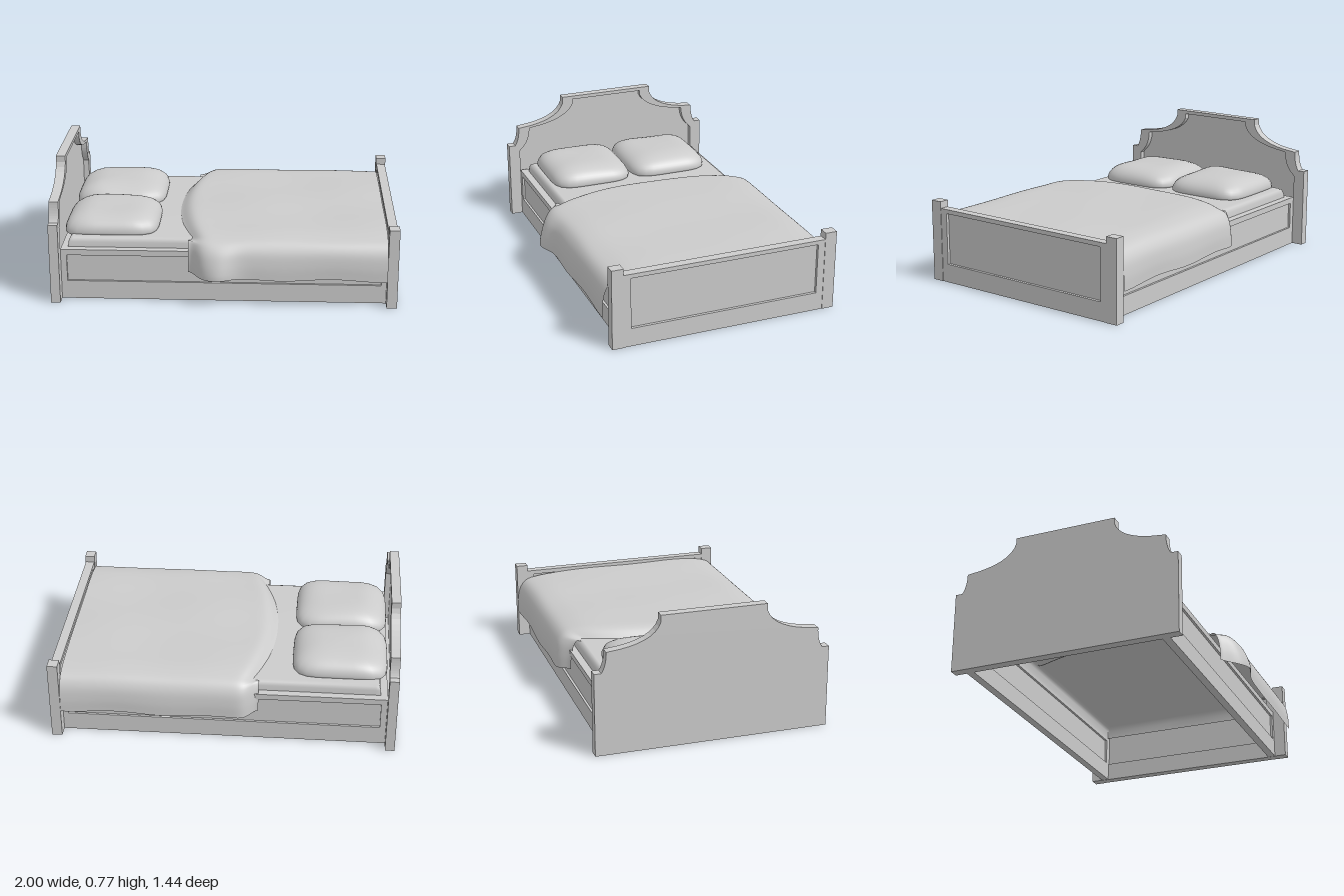
import * as THREE from 'three';
import { mergeVertices } from 'three/addons/utils/BufferGeometryUtils.js';

const mat = new THREE.MeshStandardMaterial({ color: 0xcccccc });
const clothMat = new THREE.MeshStandardMaterial({ color: 0xcccccc, side: THREE.DoubleSide });
const CZ = -0.0375; // centre line of the frame
const HALF = 0.6775; // half width over the posts

function add(parent, name, geometry, x = 0, y = 0, z = 0, material = mat) {
  const mesh = new THREE.Mesh(geometry, material);
  mesh.name = name;
  mesh.position.set(x, y, z);
  parent.add(mesh);
}

function box(parent, name, x0, x1, y0, y1, z0, z1) {
  add(parent, name, new THREE.BoxGeometry(x1 - x0, y1 - y0, z1 - z0),
    (x0 + x1) / 2, (y0 + y1) / 2, (z0 + z1) / 2);
}

const V = (x, y) => new THREE.Vector2(x, y);

function rect(x0, x1, y0, y1) {
  return [V(x0, y0), V(x1, y0), V(x1, y1), V(x0, y1)];
}

function slab(outline, holes, depth) {
  const shape = new THREE.Shape(outline);
  shape.holes = holes.map(h => new THREE.Path(h));
  return new THREE.ExtrudeGeometry(shape, { depth, bevelEnabled: false });
}

// Grid surface from fn(u, v) -> [x, y, z]; u runs along x, v along z
function sheet(nu, nv, fn) {
  const pos = [], index = [];
  for (let i = 0; i <= nu; i++) {
    for (let j = 0; j <= nv; j++) {
      pos.push(...fn(i / nu, j / nv));
      if (i < nu && j < nv) {
        const a = i * (nv + 1) + j, b = a + nv + 1;
        index.push(a, a + 1, b, b, a + 1, b + 1);
      }
    }
  }
  const g = new THREE.BufferGeometry();
  g.setAttribute('position', new THREE.Float32BufferAttribute(pos, 3));
  g.setIndex(index);
  g.computeVertexNormals();
  return g;
}

// Half of a stepped headboard outline, mirrored into a full one
function mirrored(half) {
  return [...half, ...half.slice().reverse().map(p => V(-p.x, p.y))];
}
function scoop(a, cx, cy, b) {
  return new THREE.QuadraticBezierCurve(a, V(cx, cy), b).getPoints(8);
}

function headboard() {
  const g = new THREE.Group();
  g.name = 'headboard';
  const outer = mirrored([
    V(HALF, 0), V(HALF, 0.48),
    ...scoop(V(0.637, 0.48), 0.608, 0.52, V(0.608, 0.597)),
    ...scoop(V(0.59, 0.6), 0.34, 0.62, V(0.304, 0.735)), V(0.304, 0.772),
  ]);
  const inner = mirrored([
    V(0.607, 0.11), V(0.607, 0.44),
    ...scoop(V(0.595, 0.455), 0.54, 0.5, V(0.537, 0.588)),
    ...scoop(V(0.52, 0.592), 0.28, 0.62, V(0.237, 0.72)), V(0.237, 0.75),
  ]);
  const frame = slab(outer, [inner], 0.035).rotateY(-Math.PI / 2);
  const back = slab(outer, [], 0.02).rotateY(-Math.PI / 2);
  add(g, 'headboardFrame', frame, -0.945, 0, CZ);
  add(g, 'headboardPanel', back, -0.98, 0, CZ);
  return g;
}

function footboard() {
  const g = new THREE.Group();
  g.name = 'footboard';
  for (const s of [-1, 1]) {
    const z = CZ + s * (HALF - 0.035);
    box(g, 'footPost', 0.94, 1, 0, 0.48, z - 0.035, z + 0.035);
  }
  const frame = slab(rect(-0.6075, 0.6075, 0, 0.44), [rect(-0.565, 0.565, 0.11, 0.415)], 0.054);
  add(g, 'footboardFrame', frame.rotateY(-Math.PI / 2), 0.997, 0, CZ);
  box(g, 'footboardPanel', 0.96, 0.98, 0.1, 0.42, CZ - 0.57, CZ + 0.57);
  return g;
}

function sideRail(s) {
  const g = new THREE.Group();
  g.name = s > 0 ? 'frontRail' : 'backRail';
  const z = CZ + s * 0.585;
  const frame = slab(rect(-0.945, 0.94, 0, 0.305), [rect(-0.91, 0.91, 0.11, 0.27)], 0.045);
  add(g, 'railFrame', frame, 0, 0, z - 0.0225);
  box(g, 'railPanel', -0.92, 0.92, 0.1, 0.28, z - 0.009, z + 0.009);
  return g;
}

// Mattress shell, open underneath, with a softened top edge
function mattress() {
  const n = 10;
  const heights = [0.29, 0.335, 0.356, 0.365], insets = [0, 0.003, 0.012, 0.03];
  const place = (i, lo, hi) => {
    if (i < 4) return lo + insets[i];
    if (i > n - 4) return hi - insets[n - i];
    return lo + (hi - lo) * i / n;
  };
  return sheet(n, n, (u, v) => {
    const i = Math.round(u * n), j = Math.round(v * n);
    const ring = Math.min(i, j, n - i, n - j, 3);
    return [place(i, -0.907, 0.93), heights[ring], place(j, -0.6, 0.525)];
  });
}

// Soft squared cushion sunk into the mattress, lower toward the headboard
function pillow(phase) {
  const g = new THREE.SphereGeometry(1, 40, 24);
  const p = g.attributes.position;
  for (let i = 0; i < p.count; i++) {
    const x = p.getX(i), y = p.getY(i), z = p.getZ(i);
    const angle = Math.atan2(z, x);
    const c = Math.cos(angle), s = Math.sin(angle);
    const k = Math.pow(Math.hypot(x, z), 0.5) / Math.pow(Math.abs(c) ** 5 + Math.abs(s) ** 5, 0.2);
    const px = c * k, pz = s * k;
    const sag = 0.03 * Math.max(0, -px - 0.5);
    const dent = y > 0 ? 0.006 * y * Math.sin(3 * px + phase) * Math.cos(2.5 * pz + phase) : 0;
    p.setXYZ(i, px * 0.277, y * (y > 0 ? 0.095 : 0.04) - sag + dent, pz * 0.255);
  }
  g.deleteAttribute('normal');
  g.deleteAttribute('uv');
  const merged = mergeVertices(g, 1e-5);
  merged.computeVertexNormals();
  return merged;
}

// Draped cover: cross-section over the bed, with a curved leading edge
function blanket() {
  const side = [[0.695, 0.18], [0.692, 0.26], [0.675, 0.335], [0.635, 0.385], [0.55, 0.41], [0.4, 0.42], [0.2, 0.422]];
  const section = new THREE.CatmullRomCurve3([
    ...side.map(([z, y]) => new THREE.Vector3(0, y, -z)),
    new THREE.Vector3(0, 0.422, 0),
    ...side.slice().reverse().map(([z, y]) => new THREE.Vector3(0, y, z)),
  ]);
  const bump = (d, w) => Math.exp(-((d / w) ** 2));
  return sheet(60, 72, (u, v) => {
    const { y, z } = section.getPoint(v);
    const x0 = -0.305 + 0.1 * Math.min(1, Math.abs(z) / 0.6) ** 2;
    const x = x0 + (0.938 - x0) * Math.pow(u, 1.3);
    const edge = bump(x - x0, 0.06);
    const hem = THREE.MathUtils.clamp((0.4 - y) / 0.2, 0, 1);
    const top = THREE.MathUtils.smoothstep(y, 0.36, 0.42);
    const flare = z > 0 ? 0.05 * hem * bump(x + 0.03, 0.1) : 0;
    const fold = 0.006 * hem * Math.sin(x * 11 + 1);
    const wave = 0.005 * Math.sin(x * 7 + z * 4) * Math.cos(z * 6 - x * 3);
    return [
      x,
      y - 0.064 * edge * top + wave * top * (1 - edge) + 0.015 * edge * hem + fold,
      -0.022 + z * (1 - 0.11 * edge) + flare + wave * hem,
    ];
  });
}

export function createModel() {
  const bed = new THREE.Group();
  bed.name = 'bed';
  bed.add(headboard(), footboard(), sideRail(1), sideRail(-1));
  box(bed, 'headRail', -0.945, -0.905, 0.27, 0.305, CZ - 0.565, CZ + 0.565);
  add(bed, 'mattress', mattress(), 0, 0, 0, clothMat);
  add(bed, 'backPillow', pillow(0.6), -0.667, 0.375, -0.285);
  add(bed, 'frontPillow', pillow(2.1), -0.667, 0.375, 0.233);
  add(bed, 'blanket', blanket(), 0, 0, 0, clothMat);
  return bed;
}
